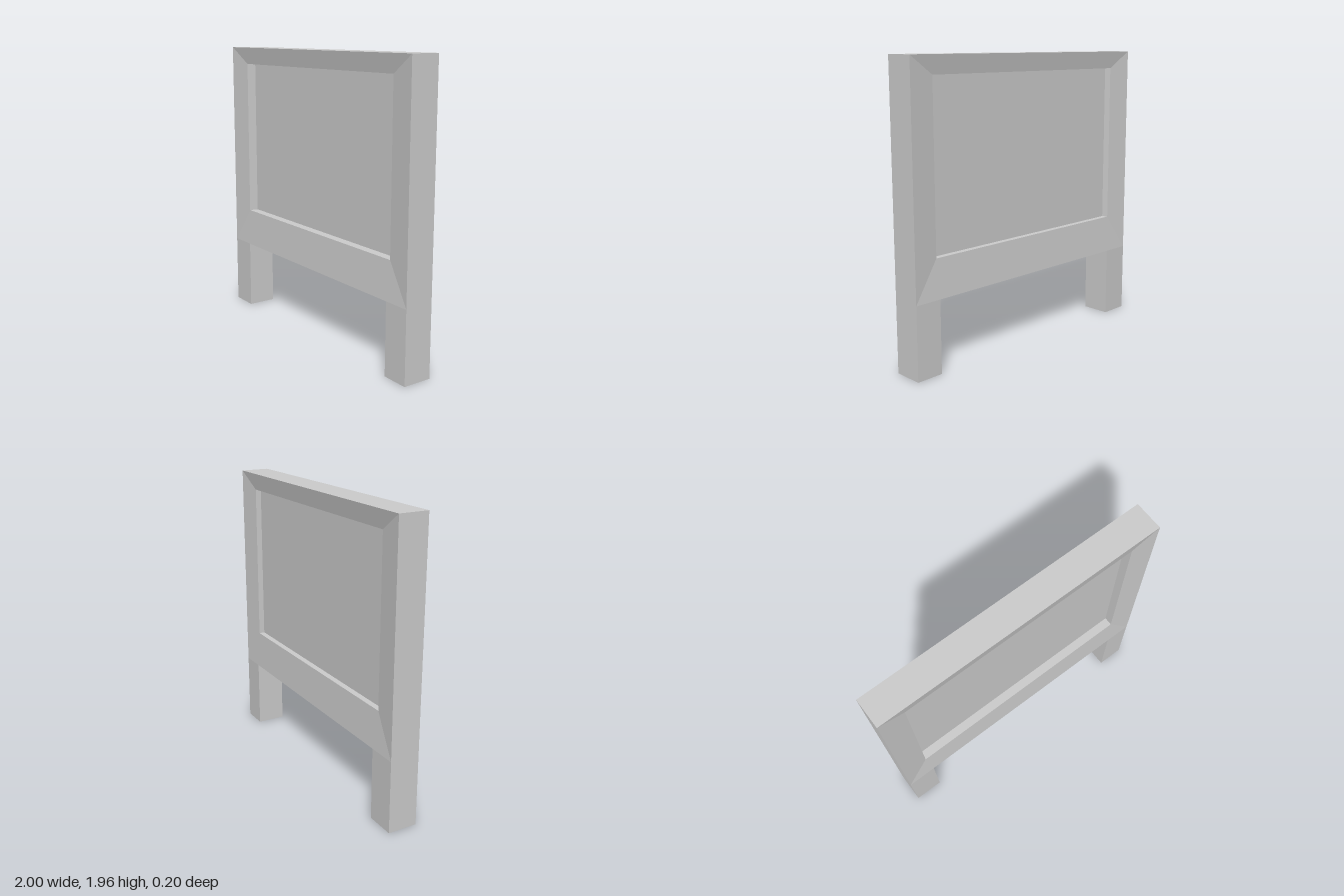
import * as THREE from 'three';

const material = new THREE.MeshStandardMaterial({ color: 0xcccccc, flatShading: true, side: THREE.DoubleSide });

// Rectangle corners, counter-clockwise seen from +z
const rect = (x0, x1, y0, y1, z) => [[x0, y0, z], [x1, y0, z], [x1, y1, z], [x0, y1, z]];

// Quads bridging two matching corner loops; count limits how many sides are joined
function bridge(a, b, count = 4) {
  const quads = [];
  for (let i = 0; i < count; i++) {
    const j = (i + 1) % 4;
    quads.push([a[i], a[j], b[j], b[i]]);
  }
  return quads;
}

function addMesh(group, name, quads, flip = false) {
  const pos = [];
  for (const [a, b, c, d] of quads) {
    const tris = flip ? [a, c, b, a, d, c] : [a, b, c, a, c, d];
    tris.forEach((p) => pos.push(...p));
  }
  const geometry = new THREE.BufferGeometry();
  geometry.setAttribute('position', new THREE.Float32BufferAttribute(pos, 3));
  geometry.computeVertexNormals();
  const mesh = new THREE.Mesh(geometry, material);
  mesh.name = name;
  group.add(mesh);
}

export function createModel() {
  const group = new THREE.Group();
  group.name = 'framedPanelBoard';
  const top = 1.96, railY = 0.485, z = 0.1;
  const legL = -0.8, legR = 0.815;

  // Front and back: frame sloping inward, recess walls, flat panel
  for (const [side, s, panelZ] of [['front', 1, 0.02], ['back', -1, -0.04]]) {
    const outer = rect(-1, 1, railY, top, s * z);
    const inner = rect(-0.823, 0.823, 0.742, 1.842, s * 0.08);
    const panel = rect(-0.813, 0.823, 0.742, 1.842, panelZ);
    addMesh(group, side + 'Frame', bridge(outer, inner), s < 0);
    addMesh(group, side + 'Recess', bridge(inner, panel), s < 0);
    addMesh(group, side + 'Panel', [panel], s < 0);
  }

  // Outer edge of the frame: right side, top, left side
  const back = rect(-1, 1, railY, top, -z), front = rect(-1, 1, railY, top, z);
  addMesh(group, 'outerEdge', bridge(back, front).slice(1));

  // Underside of the bottom rail between the legs
  addMesh(group, 'railUnderside', [[
    [legL, railY, -z], [legR, railY, -z], [legR, railY, z], [legL, railY, z],
  ]]);

  // Hollow legs, open at the foot
  for (const [name, x0, x1] of [['rightLeg', -1, legL], ['leftLeg', legR, 1]]) {
    const ring = (y) => [[x0, y, z], [x1, y, z], [x1, y, -z], [x0, y, -z]];
    addMesh(group, name, bridge(ring(0), ring(railY)));
  }
  return group;
}
